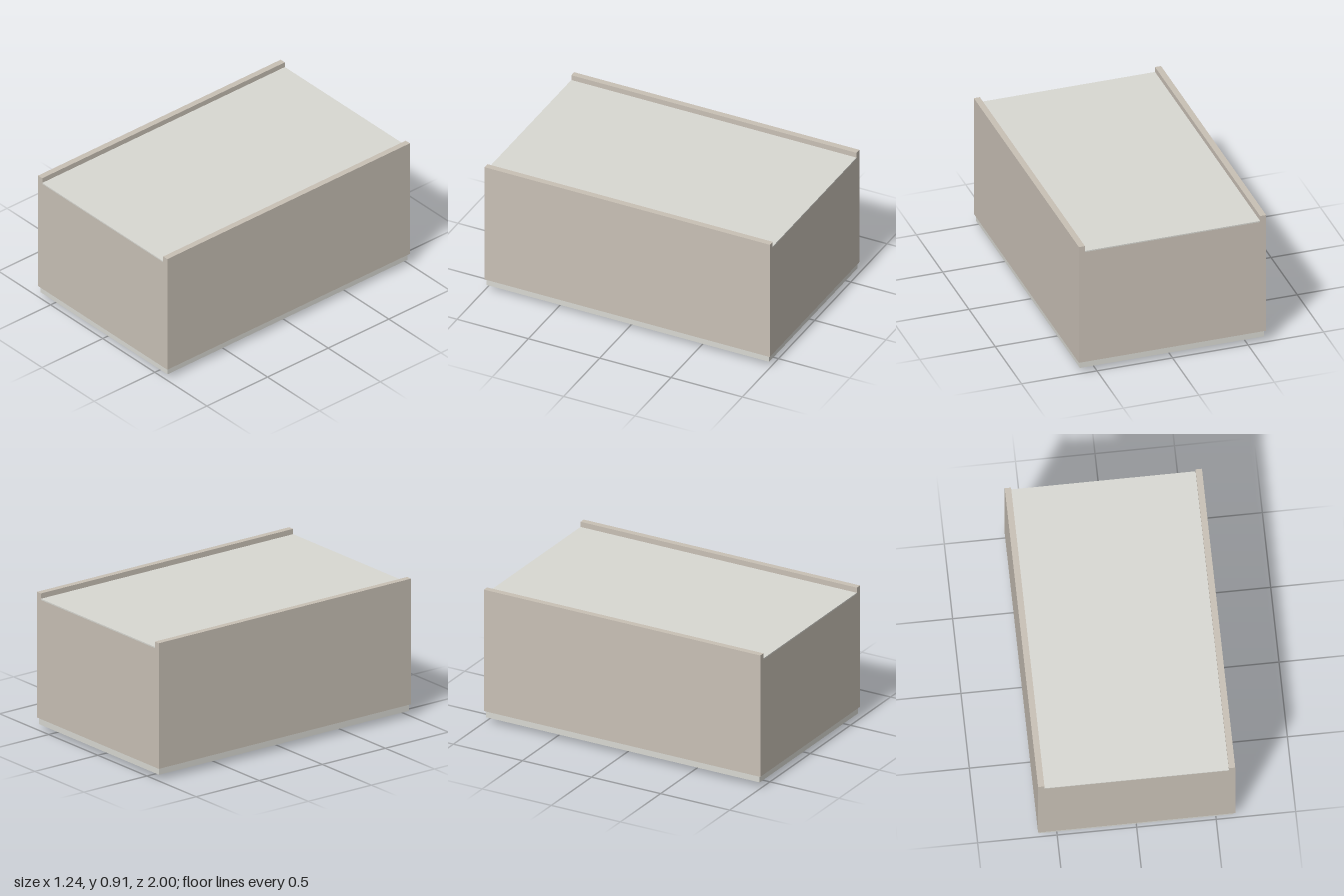
import * as THREE from 'three';

// Cabinet lying on its door: back panel on top, door and pull underneath.
export function createModel() {
  const group = new THREE.Group();
  const mat = (color) => new THREE.MeshStandardMaterial({ color });
  const carcass = mat(0xc8c0b5);
  const panel = mat(0xd8d8d2);
  const metal = mat(0x6c6c76);

  // Box given by its lower and upper corners
  function box(name, min, max, material) {
    const size = max.map((v, i) => v - min[i]);
    const mesh = new THREE.Mesh(new THREE.BoxGeometry(...size), material);
    mesh.position.set(...min.map((v, i) => (v + max[i]) / 2));
    mesh.name = name;
    group.add(mesh);
  }

  // Side panels rise past the recessed back panel
  box('leftSide', [0.58, 0.08, -1], [0.62, 0.912, 1], carcass);
  box('rightSide', [-0.62, 0.08, -1], [-0.58, 0.912, 1], carcass);

  // End panels between the sides
  box('frontEnd', [-0.58, 0.08, 0.96], [0.58, 0.869, 1], carcass);
  box('rearEnd', [-0.58, 0.08, -1], [0.58, 0.869, -0.96], carcass);

  // Thin back panel, door and its pull
  box('backPanel', [-0.58, 0.869, -1], [0.58, 0.877, 1], panel);
  box('door', [-0.61, 0.036, -0.99], [0.61, 0.08, 0.99], panel);
  box('doorHandle', [-0.132, 0, 0.773], [0.132, 0.036, 0.806], metal);

  return group;
}
